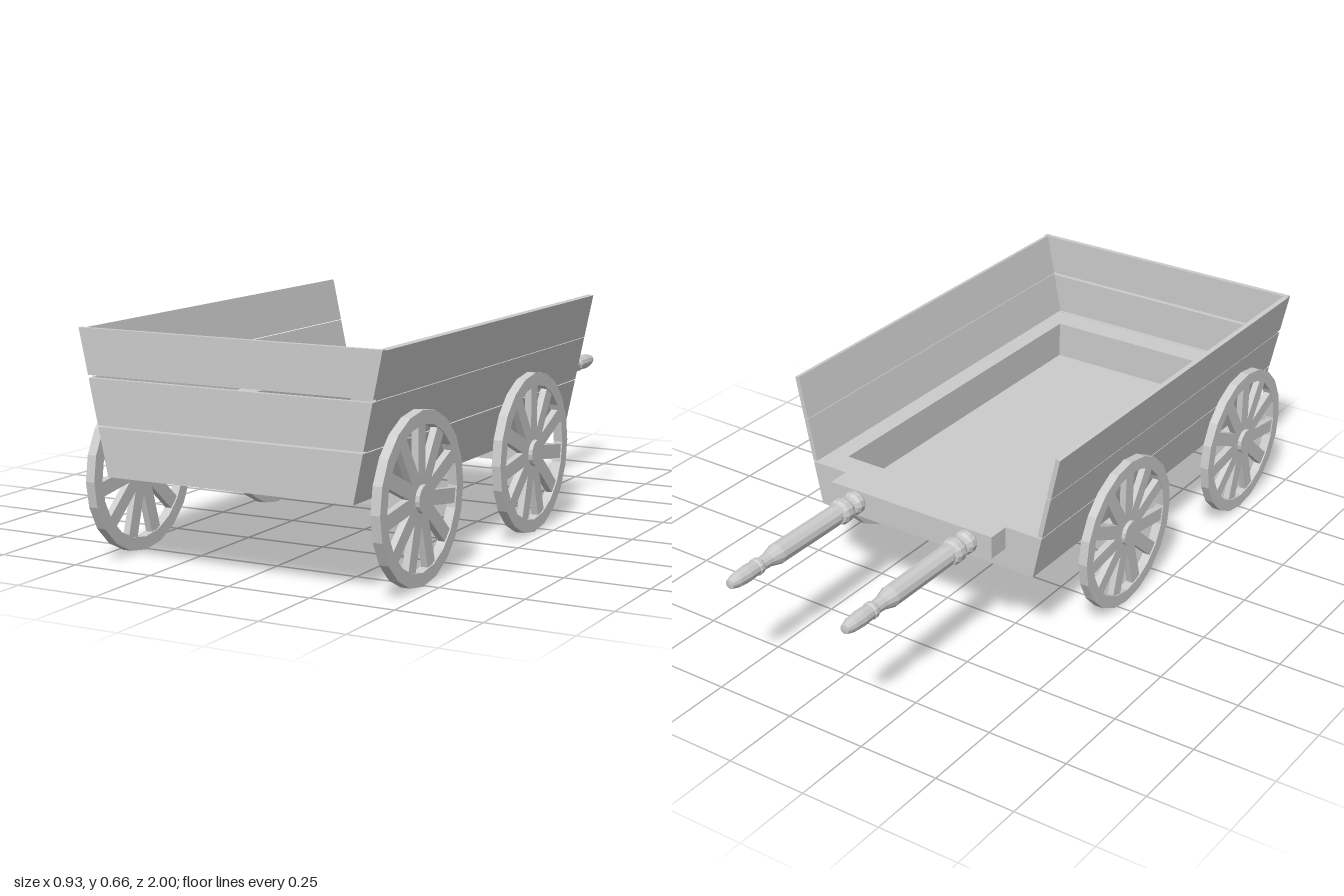
import * as THREE from 'three';

const material = new THREE.MeshStandardMaterial({ color: 0xcccccc, flatShading: true });

function add(parent, name, geometry) {
  const mesh = new THREE.Mesh(geometry, material);
  mesh.name = name;
  parent.add(mesh);
  return mesh;
}

// Outline in the xy plane, extruded from z0 to z1
function prism(points, z0, z1) {
  const shape = new THREE.Shape(points.map(([x, y]) => new THREE.Vector2(x, y)));
  const g = new THREE.ExtrudeGeometry(shape, { depth: z1 - z0, bevelEnabled: false });
  return g.translate(0, 0, z0);
}

function lathe(points, segments) {
  return new THREE.LatheGeometry(points.map(([r, y]) => new THREE.Vector2(r, y)), segments);
}

// The body flares outwards with height
const halfWidth = (y) => 0.382 + (y - 0.265) * 0.213;

function trapezoid(y0, y1) {
  const a = halfWidth(y0), b = halfWidth(y1);
  return [[-a, y0], [a, y0], [b, y1], [-b, y1]];
}

function buildBed() {
  const bed = new THREE.Group();
  bed.name = 'bed';
  const y0 = 0.26, y1 = 0.395, floor = 0.277, inner = 0.344;
  const outline = trapezoid(y0, y1);
  const [left, right, topRight, topLeft] = outline;
  // Sunken tray between two solid ends
  add(bed, 'tray', prism([
    left, right, topRight, [inner, y1], [inner, floor],
    [-inner, floor], [-inner, y1], topLeft,
  ], -0.277, 0.9));
  add(bed, 'backEnd', prism(outline, -0.36, -0.277));
  add(bed, 'frontEnd', prism(outline, 0.9, 0.984));
  return bed;
}

function buildWheel() {
  const wheel = new THREE.Group();
  wheel.name = 'wheel';
  const ro = 0.238, ri = 0.2, h = 0.014, spokes = 11;
  add(wheel, 'rim', lathe([[ri, -h], [ro, -h], [ro, h], [ri, h], [ri, -h]], 20).rotateZ(Math.PI / 2));
  add(wheel, 'hub', new THREE.CylinderGeometry(0.039, 0.039, 0.045, 16).rotateZ(Math.PI / 2));
  for (let i = 0; i < spokes; i++) {
    const g = new THREE.BoxGeometry(0.02, 0.18, 0.042);
    g.translate(0, 0.115, 0).rotateX((i / spokes) * Math.PI * 2);
    add(wheel, 'spoke', g);
  }
  return wheel;
}

// Turned handle: [radius, distance from the crossbar]
const handleProfile = [
  [0, -0.01], [0.03, -0.01], [0.03, 0], [0.036, 0.008], [0.036, 0.024], [0.03, 0.034],
  [0.021, 0.038], [0.021, 0.05], [0.034, 0.054], [0.039, 0.064], [0.039, 0.084], [0.034, 0.095],
  [0.026, 0.098], [0.026, 0.108], [0.032, 0.112], [0.032, 0.368], [0.022, 0.405], [0.02, 0.44],
  [0.025, 0.446], [0.026, 0.458], [0.023, 0.462], [0.025, 0.5], [0.022, 0.54], [0.014, 0.568],
  [0, 0.57],
];

export function createModel() {
  const cart = new THREE.Group();
  cart.name = 'cart';
  cart.add(buildBed());

  // Three plank rows across the front
  for (const [y0, y1] of [[0.26, 0.396], [0.401, 0.529], [0.537, 0.665]]) {
    add(cart, 'frontPlank', prism(trapezoid(y0, y1), 0.984, 1));
  }

  // Two leaning plank rows on each side, cut square to their lean
  const t = 0.014, skew = 0.003;
  for (const [y0, y1] of [[0.398, 0.53], [0.532, 0.662]]) {
    const a = halfWidth(y0), b = halfWidth(y1);
    for (const side of [-1, 1]) {
      const outline = [[a - t, y0 + skew], [a, y0], [b, y1], [b - t, y1 + skew]].map(([x, y]) => [side * x, y]);
      add(cart, side > 0 ? 'leftPlank' : 'rightPlank', prism(outline, -0.36, 0.984));
    }
  }

  // Axles and wheels
  for (const z of [0.76, 0.045]) {
    add(cart, 'axle', new THREE.BoxGeometry(0.85, 0.048, 0.05)).position.set(0, 0.237, z);
    for (const side of [-1, 1]) {
      const wheel = buildWheel();
      wheel.position.set(side * 0.444, 0.239, z);
      cart.add(wheel);
    }
  }

  // Crossbar with the two handles
  add(cart, 'crossbar', new THREE.BoxGeometry(0.575, 0.07, 0.07)).position.set(0, 0.36, -0.395);
  for (const x of [-0.207, 0.192]) {
    const handle = add(cart, 'handle', lathe(handleProfile, 12).rotateX(-Math.PI / 2));
    handle.position.set(x, 0.361, -0.43);
  }
  return cart;
}
